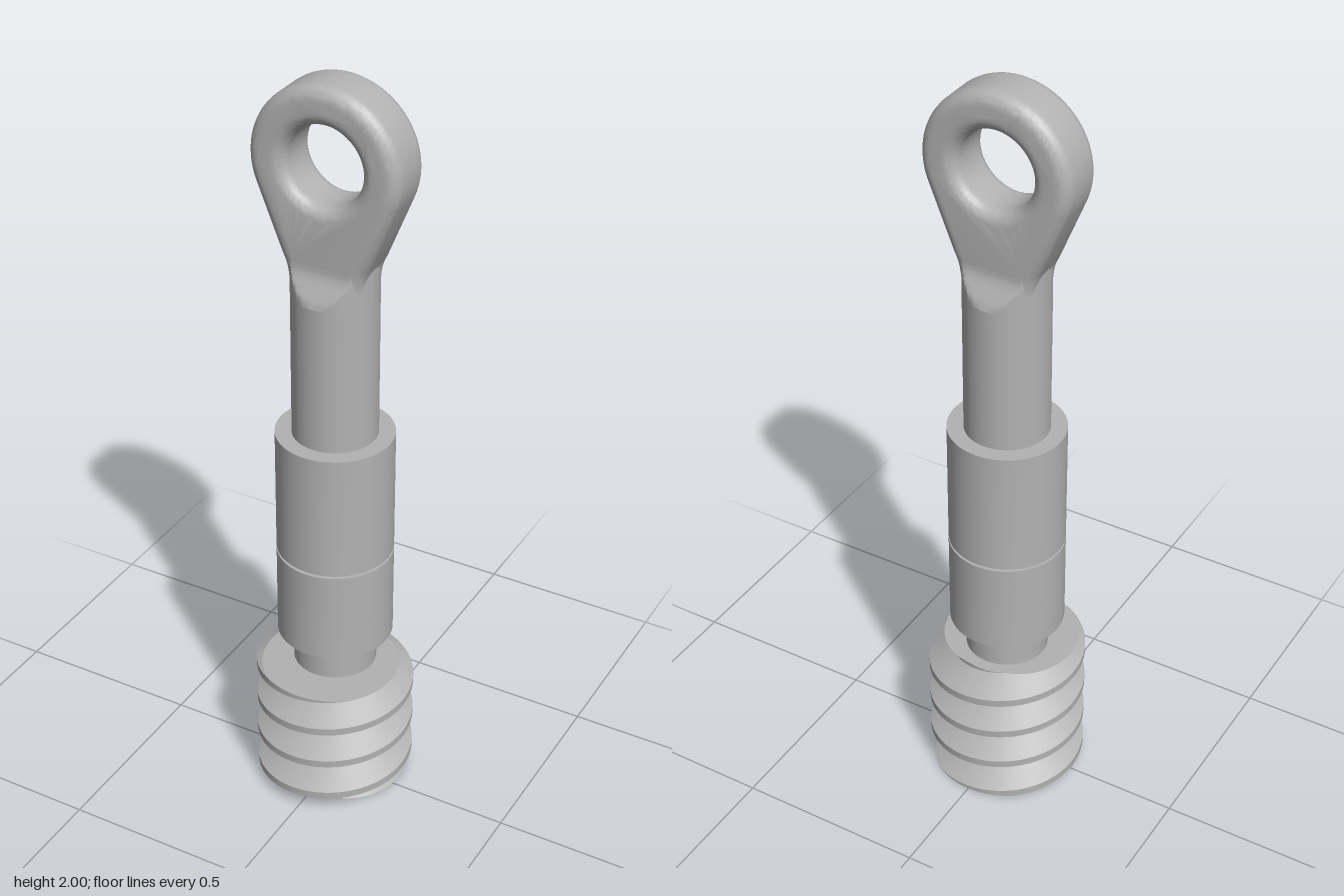
import * as THREE from 'three';
import { toCreasedNormals } from 'three/addons/utils/BufferGeometryUtils.js';

const steel = new THREE.MeshStandardMaterial({ color: 0xb2b2b2 });
steel.name = 'steel grey';

const SHAFT_R = 0.108;
const EYE_HALF = 0.072;

function part(name, geometry, crease = 0.6) {
  const mesh = new THREE.Mesh(toCreasedNormals(geometry, crease), steel);
  mesh.name = name;
  return mesh;
}

function cylinder(name, radius, y0, y1) {
  const g = new THREE.CylinderGeometry(radius, radius, y1 - y0, 64);
  g.translate(0, (y0 + y1) / 2, 0);
  return part(name, g);
}

// Right-handed screw thread, cut flat at the top and the bottom
function threadGeometry() {
  const height = 0.38, pitch = 0.108, root = 0.14, crest = 0.207;
  const crestHalf = 0.01, flank = 0.038, phase = 0.405, drill = 0.037, n = 96;
  const breaks = [-crestHalf - flank, -crestHalf, crestHalf, crestHalf + flank];
  const radiusAt = (y, turn) => {
    const d = y - phase - pitch * turn;
    const off = Math.abs(d - pitch * Math.round(d / pitch));
    return crest - (crest - root) * THREE.MathUtils.clamp((off - crestHalf) / flank, 0, 1);
  };
  const rows = [];
  for (let k = -6; k <= 2; k++) for (const b of breaks) rows.push(phase + k * pitch + b);
  const at = (r, y, turn) => {
    const a = turn * Math.PI * 2;
    return [r * Math.cos(a), y, -r * Math.sin(a)];
  };
  const pos = [];
  const quad = (a, b, c, d) => pos.push(...a, ...b, ...c, ...a, ...c, ...d);
  for (let i = 0; i < n; i++) {
    const t0 = i / n, t1 = (i + 1) / n;
    const surface = (row, t) => {
      const y = THREE.MathUtils.clamp(row + pitch * t, 0, height);
      return at(radiusAt(y, t), y, t);
    };
    // Flanks, crests and roots
    for (let j = 0; j < rows.length - 1; j++) {
      const a = surface(rows[j], t0), b = surface(rows[j], t1);
      const c = surface(rows[j + 1], t1), d = surface(rows[j + 1], t0);
      if (a[1] !== d[1] || b[1] !== c[1]) quad(a, b, c, d);
    }
    // Top face
    pos.push(0, height, 0, ...at(radiusAt(height, t0), height, t0), ...at(radiusAt(height, t1), height, t1));
    // Bottom face around the centre hole
    quad(at(drill, 0, t0), at(drill, 0, t1), at(radiusAt(0, t1), 0, t1), at(radiusAt(0, t0), 0, t0));
    // Centre hole wall and end
    quad(at(drill, 0, t1), at(drill, 0, t0), at(drill, 0.1, t0), at(drill, 0.1, t1));
    pos.push(0, 0.1, 0, ...at(drill, 0.1, t1), ...at(drill, 0.1, t0));
  }
  const g = new THREE.BufferGeometry();
  g.setAttribute('position', new THREE.Float32BufferAttribute(pos, 3));
  g.computeVertexNormals();
  return g;
}

// Round shaft end flattened front and back to the thickness of the eye
function neckGeometry() {
  const y0 = 1.46, y1 = 1.55;
  const g = new THREE.CylinderGeometry(SHAFT_R, SHAFT_R, y1 - y0, 96, 12);
  g.translate(0, (y0 + y1) / 2, 0);
  const p = g.attributes.position;
  for (let i = 0; i < p.count; i++) {
    const t = THREE.MathUtils.smoothstep(p.getY(i), y0 - 0.01, y1 - 0.005);
    const limit = THREE.MathUtils.lerp(SHAFT_R, EYE_HALF, t);
    p.setZ(i, THREE.MathUtils.clamp(p.getZ(i), -limit, limit));
  }
  g.computeVertexNormals();
  return g;
}

// Teardrop eye with a round hole and rounded edges
function eyeGeometry() {
  const cy = 1.803, r = 0.197, bevel = 0.034, tangent = -0.385;
  const s = new THREE.Shape();
  s.moveTo(-0.098, 1.5);
  s.lineTo(0.098, 1.5);
  s.quadraticCurveTo(0.1, 1.535, 0.115, 1.562);
  s.lineTo(r * Math.cos(tangent), cy + r * Math.sin(tangent));
  s.absarc(0, cy, r, tangent, Math.PI - tangent, false);
  s.lineTo(-0.115, 1.562);
  s.quadraticCurveTo(-0.1, 1.535, -0.098, 1.5);
  const hole = new THREE.Path();
  hole.absarc(0, cy, 0.1, 0, Math.PI * 2, true);
  s.holes.push(hole);
  const depth = 2 * (EYE_HALF - bevel);
  const g = new THREE.ExtrudeGeometry(s, {
    depth, curveSegments: 56, bevelEnabled: true, bevelSegments: 7,
    bevelSize: bevel, bevelThickness: bevel, bevelOffset: -bevel,
  });
  g.translate(0, 0, -depth / 2);
  return g;
}

export function createModel() {
  const model = new THREE.Group();
  model.name = 'threadedEyeRod';
  model.add(
    part('wormThread', threadGeometry(), 0.4),
    cylinder('shaft', SHAFT_R, 0.375, 1.46),
    cylinder('lowerCollar', 0.15, 0.475, 0.726),
    cylinder('collarGroove', 0.14, 0.72, 0.74),
    cylinder('upperCollar', 0.15, 0.734, 1.072),
    part('neck', neckGeometry()),
    part('eye', eyeGeometry()),
  );
  return model;
}
